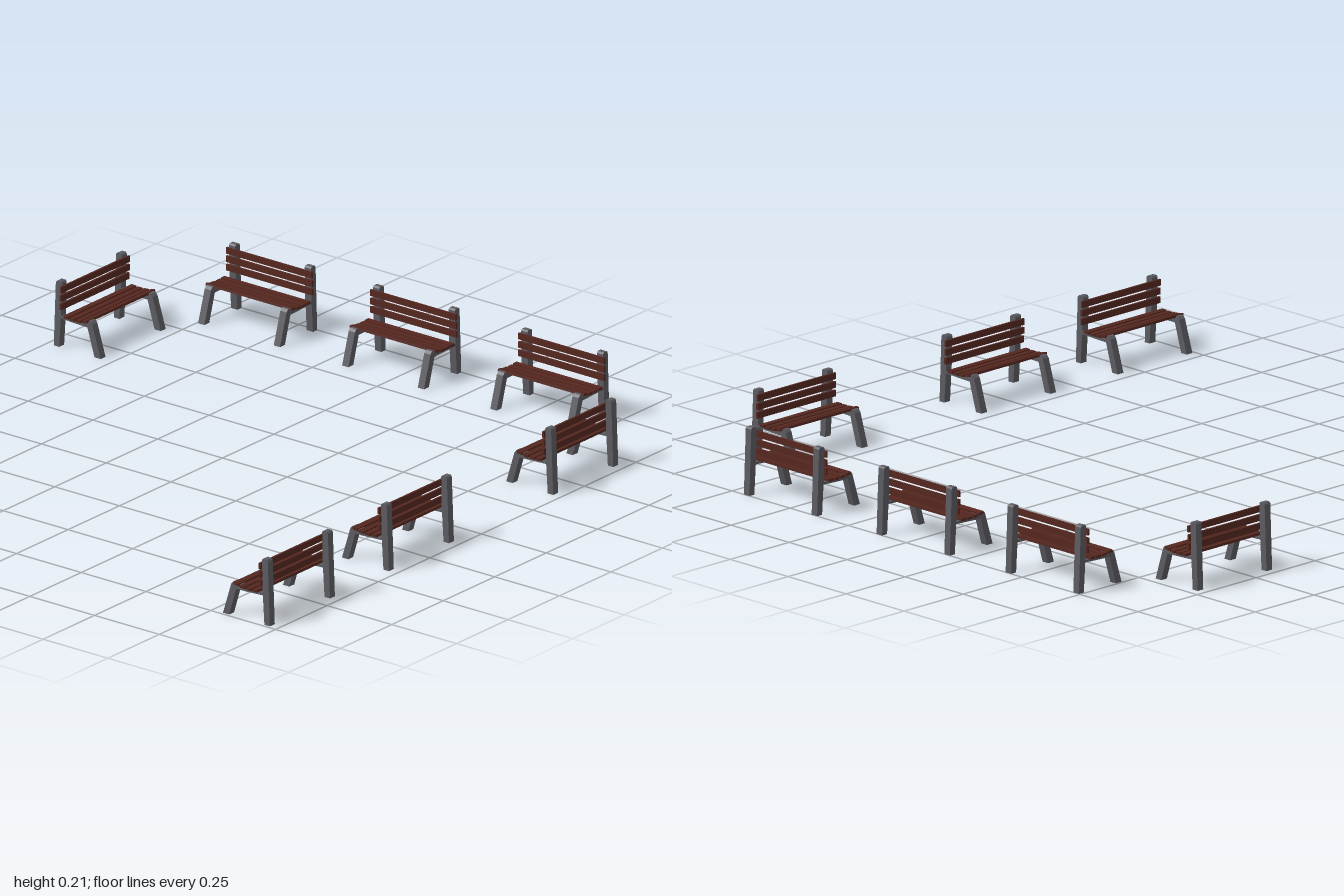
import * as THREE from 'three';

const metal = new THREE.MeshStandardMaterial({ color: 0x5c5c61, flatShading: true });
const wood = new THREE.MeshStandardMaterial({ color: 0x55271f, flatShading: true });

const LENGTH = 0.332, FRAME_WIDTH = 0.024, FRAME_X = 0.146;

// Side frame profile: distance from the back, height
const frameShape = new THREE.Shape([
  [0, 0], [0.021, 0], [0.027, 0.094], [0.09, 0.091], [0.13, 0.09],
  [0.157, 0], [0.181, 0], [0.149, 0.103], [0.142, 0.111], [0.134, 0.112],
  [0.09, 0.101], [0.028, 0.101], [0.031, 0.208], [0.027, 0.213], [0.012, 0.213], [0.008, 0.208],
].map(([d, y]) => new THREE.Vector2(d, y)));
const frameGeometry = new THREE.ExtrudeGeometry(frameShape, { depth: FRAME_WIDTH, bevelEnabled: false })
  .translate(0, 0, -FRAME_WIDTH / 2).rotateY(-Math.PI / 2);

const seatSlatGeometry = new THREE.BoxGeometry(LENGTH, 0.008, 0.018);
const backSlatGeometry = new THREE.BoxGeometry(LENGTH, 0.02, 0.007);

function add(parent, name, geometry, material, x, y, z) {
  const mesh = new THREE.Mesh(geometry, material);
  mesh.name = name;
  mesh.position.set(x, y, z);
  parent.add(mesh);
  return mesh;
}

// One bench, facing +z, with the back of its feet on z = 0
function createBench() {
  const bench = new THREE.Group();
  bench.name = 'bench';
  for (const side of [-1, 1]) {
    add(bench, side > 0 ? 'leftFrame' : 'rightFrame', frameGeometry, metal, side * FRAME_X, 0, 0);
  }
  // Seat slats follow the slightly dished rail
  [0.105, 0.104, 0.105, 0.109].forEach((y, i) => {
    const slat = add(bench, 'seatSlat', seatSlatGeometry, wood, 0, y, 0.052 + i * 0.0245);
    slat.rotation.x = [0.04, 0, -0.08, -0.2][i];
  });
  // Back slats on the front of the posts
  for (let i = 0; i < 3; i++) {
    add(bench, 'backSlat', backSlatGeometry, wood, 0, 0.135 + i * 0.0275, 0.032 + i * 0.0006);
  }
  return bench;
}

export function createModel() {
  const model = new THREE.Group();
  model.name = 'benches';
  const quarter = Math.PI / 2;
  // x, z, turn
  const places = [
    [-0.587, -1, 0], [-0.031, -1, 0], [0.541, -1, 0],
    [-0.974, -0.564, quarter],
    [0.971, -0.543, -quarter], [0.971, 0.255, -quarter], [0.971, 0.833, -quarter],
  ];
  for (const [x, z, turn] of places) {
    const bench = createBench();
    bench.position.set(x, 0, z);
    bench.rotation.y = turn;
    model.add(bench);
  }
  return model;
}
